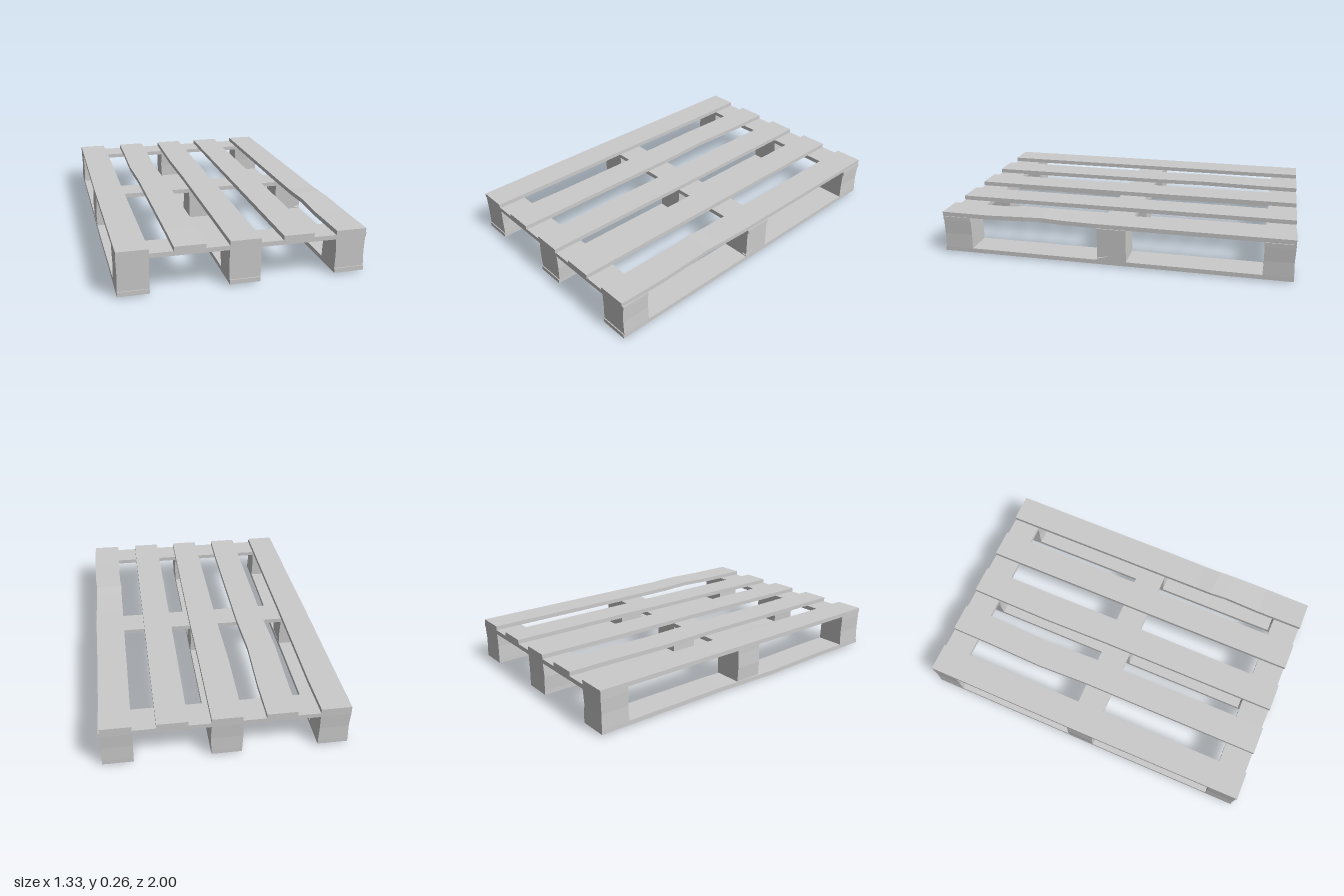
import * as THREE from 'three';

const mat = new THREE.MeshStandardMaterial({ color: 0xcccccc, flatShading: true });
const W = 0.165; // width of planks and blocks

function add(group, name, geometry, x = 0, y = 0, z = 0) {
  const mesh = new THREE.Mesh(geometry, mat);
  mesh.name = name;
  mesh.position.set(x, y, z);
  group.add(mesh);
}

// Lengthwise plank; each bend is [z, shift of -x edge, shift of +x edge, lift]
function plank(bends = []) {
  const stops = [[-1, 0, 0, 0], ...bends, [1, 0, 0, 0]];
  const n = stops.length - 1;
  const g = new THREE.BoxGeometry(W, 0.025, 2, 1, 1, n);
  const p = g.attributes.position;
  for (let i = 0; i < p.count; i++) {
    const [z, left, right, lift] = stops[Math.round((p.getZ(i) + 1) / 2 * n)];
    const x = p.getX(i);
    p.setXYZ(i, x + (x < 0 ? left : right), p.getY(i) + lift, z);
  }
  return g;
}

// Spacer block whose sides are worn unevenly at mid height
function block(bulgeX, bulgeZ, width = W) {
  const g = new THREE.BoxGeometry(width, 0.165, W, 1, 4, 1);
  const p = g.attributes.position;
  for (let i = 0; i < p.count; i++) {
    const k = 1 - Math.abs(p.getY(i)) / 0.0825;
    p.setX(i, p.getX(i) + Math.sign(p.getX(i)) * bulgeX * k);
    p.setZ(i, p.getZ(i) + Math.sign(p.getZ(i)) * bulgeZ * k);
  }
  return g;
}

// Outer layer of a block with a wedge-shaped split on its front corner
function splitFace(depth) {
  const shape = new THREE.Shape([
    [-0.0825, -0.0825], [0.0825, -0.0825], [0.0825, 0.0825], [-0.0825, 0.0825],
    [-0.0825, -0.068], [0.0, -0.052], [0.1 - 0.09, -0.049], [-0.0825, -0.076],
  ].map(([x, y]) => new THREE.Vector2(x, y)));
  return new THREE.ExtrudeGeometry(shape, { depth, bevelEnabled: false }).rotateY(Math.PI / 2);
}

export function createModel() {
  const pallet = new THREE.Group();
  pallet.name = 'pallet';

  // Deck planks along the length, some warped
  const deck = [
    [-0.582, [[-0.75, 0, 0.004, 0], [0, -0.003, 0, 0]]],
    [-0.293, [[-0.75, -0.002, 0, 0], [-0.4, -0.011, -0.012, 0], [-0.1, 0, 0, 0], [0.75, 0, 0.004, 0.002]]],
    [-0.003, [[-0.5, -0.006, 0, 0], [-0.1, 0, 0.003, 0]]],
    [0.283, []],
    [0.573, [[0.1, 0, 0, 0], [0.3, -0.001, -0.004, 0.002], [0.4, -0.003, -0.005, 0.007],
      [0.5, 0.004, 0, 0.006], [0.72, 0, 0.003, 0]]],
  ];
  deck.forEach(([x, bends]) => add(pallet, 'deckPlank', plank(bends), x, 0.2375, 0));

  // Cross planks under the deck
  const rows = [-0.9175, -0.003, 0.9125];
  rows.forEach((z) => add(pallet, 'crossPlank', new THREE.BoxGeometry(1.325, 0.025, W), -0.002, 0.2125, z));

  // Runners on the ground and the blocks above them
  const runners = [
    [-0.582, [[-0.2, 0, 0, 0], [0.2, 0, 0, -0.009], [0.65, 0, 0, 0]]],
    [-0.003, []],
    [0.573, []],
  ];
  runners.forEach(([x, bends], i) => {
    add(pallet, 'runner', plank(bends), x, 0.0225, 0);
    rows.forEach((z, j) => {
      if (i === 2 && j === 1) {
        add(pallet, 'splitBlockCore', new THREE.BoxGeometry(W - 0.03, 0.165, W), x - 0.015, 0.1175, z);
        add(pallet, 'splitBlockFace', splitFace(0.03), x + W / 2 - 0.03, 0.1175, z);
      } else {
        add(pallet, 'block', block((i + j) % 2 ? 0.004 : -0.003, j === 0 ? -0.003 : 0), x, 0.1175, z);
      }
    });
  });
  return pallet;
}
